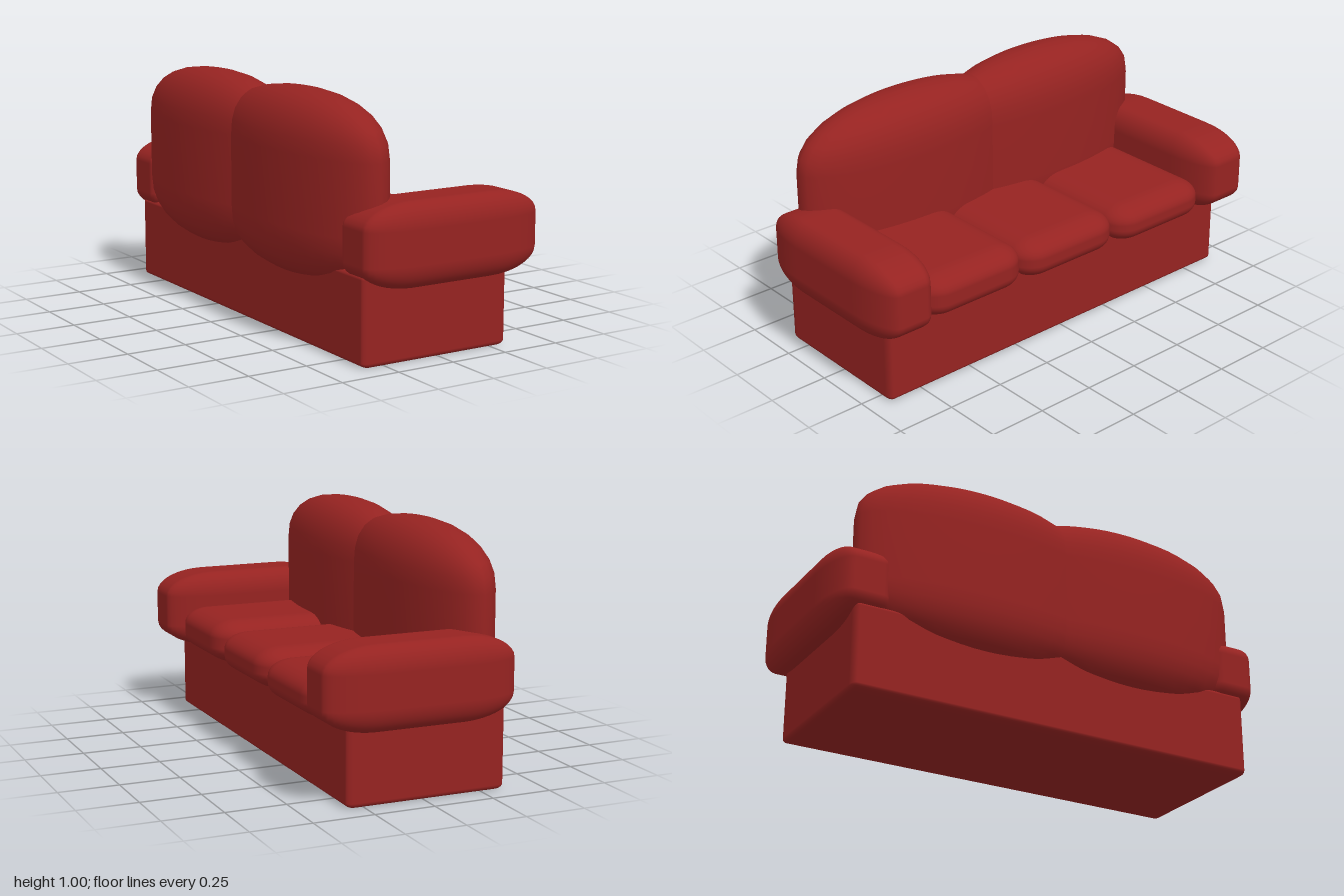
import * as THREE from 'three';
import { RoundedBoxGeometry } from 'three/addons/geometries/RoundedBoxGeometry.js';

const fabric = new THREE.MeshStandardMaterial({ color: 0x962321 });

// Box between two corners whose rounding differs along each axis
function softBox(name, min, max, radii, segments = 5) {
  const geo = new RoundedBoxGeometry(2, 2, 2, segments, 0.5);
  const pos = geo.attributes.position, nor = geo.attributes.normal;
  const n = new THREE.Vector3();
  for (let i = 0; i < pos.count; i++) {
    for (let a = 0; a < 3; a++) {
      const c = pos.getComponent(i, a), m = Math.abs(c);
      const flat = (max[a] - min[a]) / 2 - radii[a];
      const d = m <= 0.5 ? m * 2 * flat : flat + (m - 0.5) * 2 * radii[a];
      pos.setComponent(i, a, (min[a] + max[a]) / 2 + Math.sign(c) * d);
      n.setComponent(a, nor.getComponent(i, a) / radii[a]);
    }
    n.normalize();
    nor.setXYZ(i, n.x, n.y, n.z);
  }
  const mesh = new THREE.Mesh(geo, fabric);
  mesh.name = name;
  return mesh;
}

// Oval cushion: straight sides, rounded over at top and bottom
function backCushion(name, z) {
  const profile = [], steps = 7, straight = 0.145, round = 0.23;
  for (const side of [-1, 1]) {
    for (let i = 0; i <= steps; i++) {
      const t = (side < 0 ? steps - i : i) / steps * Math.PI / 2;
      const r = i === (side < 0 ? 0 : steps) ? 0 : Math.cos(t) ** 0.87;
      profile.push(new THREE.Vector2(r, side * (straight + round * Math.sin(t) ** 0.87)));
    }
  }
  const geo = new THREE.LatheGeometry(profile, 32);
  geo.scale(0.176, 1, 0.545);
  const mesh = new THREE.Mesh(geo, fabric);
  mesh.name = name;
  mesh.position.set(-0.261, 0.625, z);
  return mesh;
}

export function createModel() {
  const sofa = new THREE.Group();
  sofa.name = 'sofa';

  // Base block
  sofa.add(softBox('base', [-0.35, 0, -0.91], [0.322, 0.36, 0.91], [0.035, 0.02, 0.02], 3));

  // Two armrests
  const armRadii = [0.22, 0.1, 0.075];
  sofa.add(softBox('armrestNear', [-0.37, 0.295, 0.73], [0.437, 0.63, 1], armRadii));
  sofa.add(softBox('armrestFar', [-0.37, 0.295, -1], [0.437, 0.63, -0.73], armRadii));

  // Three seat cushions, each sitting slightly lower than the last
  const seats = [[0.25, 0.76, 0.31, 0.495, 0.395], [-0.255, 0.265, 0.305, 0.475, 0.395], [-0.765, -0.245, 0.3, 0.465, 0.405]];
  seats.forEach(([z0, z1, y0, y1, x1], i) => {
    sofa.add(softBox('seatCushion' + (i + 1), [-0.27, y0, z0], [x1, y1, z1], [0.11, 0.07, 0.11]));
  });

  // Two overlapping back cushions
  sofa.add(backCushion('backCushionNear', 0.345));
  sofa.add(backCushion('backCushionFar', -0.345));

  return sofa;
}
